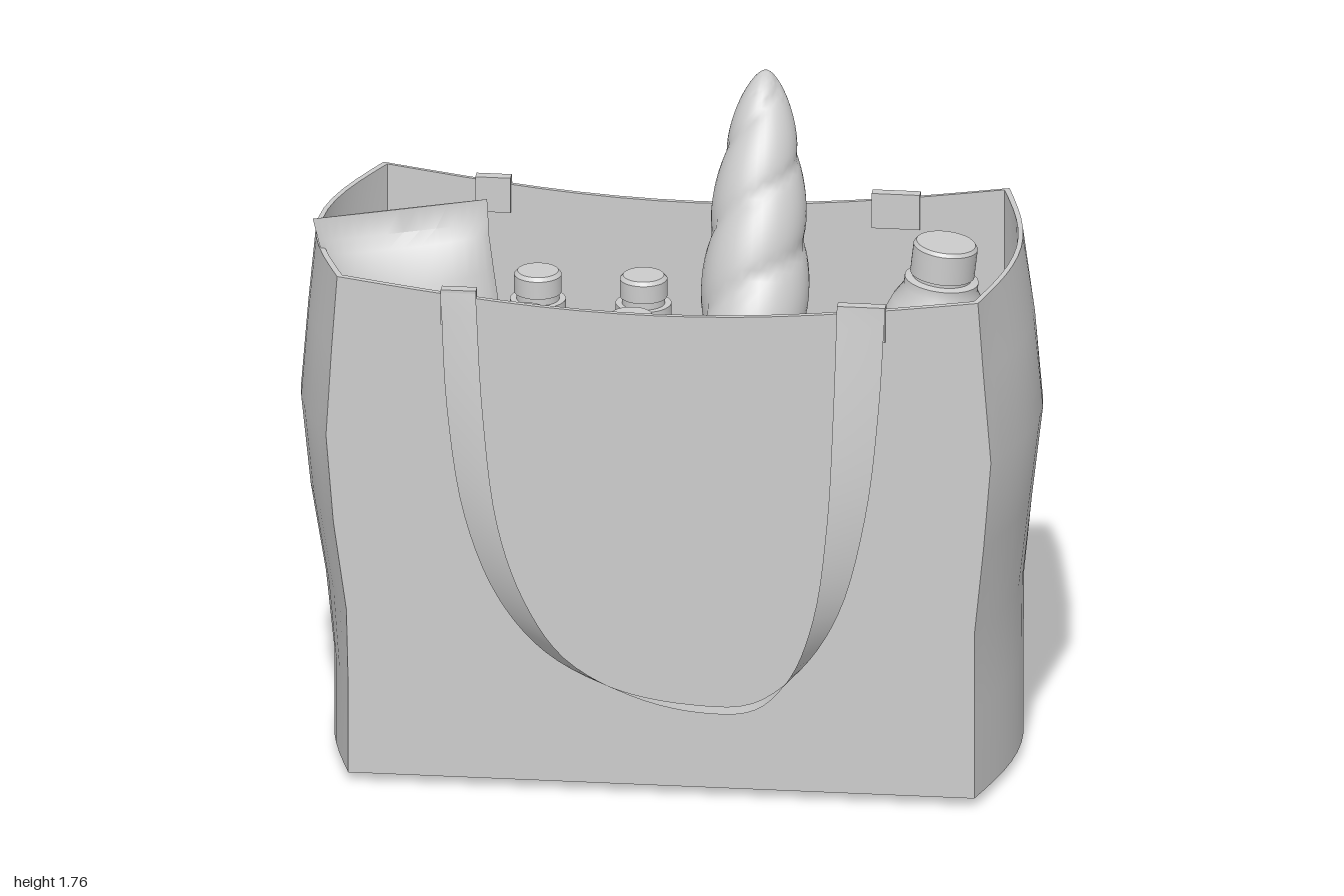
import * as THREE from 'three';
import { toCreasedNormals } from 'three/addons/utils/BufferGeometryUtils.js';

const V = (x, y, z) => new THREE.Vector3(x, y, z);
const lerp = THREE.MathUtils.lerp;

function mesh(name, geometry, parent, doubleSided = false) {
  const m = new THREE.Mesh(geometry, new THREE.MeshStandardMaterial({
    color: 0xcccccc, side: doubleSided ? THREE.DoubleSide : THREE.FrontSide }));
  m.name = name;
  parent.add(m);
  return m;
}

// Skin a list of rings of points, each ring closed or open
function loft(rings, closed = true, crease = 0.6) {
  const n = rings[0].length, pos = [], index = [];
  rings.forEach(r => r.forEach(p => pos.push(p.x, p.y, p.z)));
  for (let i = 0; i < rings.length - 1; i++) {
    for (let j = 0; j < (closed ? n : n - 1); j++) {
      const k = (j + 1) % n, a = i * n + j, b = i * n + k, c = a + n, d = b + n;
      index.push(a, b, d, a, d, c);
    }
  }
  const g = new THREE.BufferGeometry();
  g.setAttribute('position', new THREE.Float32BufferAttribute(pos, 3));
  g.setIndex(index);
  return toCreasedNormals(g, crease);
}

function lathe(points, segments = 32) {
  const g = new THREE.LatheGeometry(points.map(p => new THREE.Vector2(p[0], p[1])), segments);
  return toCreasedNormals(g, 0.6);
}

// Bag cross-section: flat front and back, bulging sides, sagging front and back rim
function bagRing([y, frontL, frontR, peakL, peakR], inset) {
  const pts = [], zh = 0.42 - inset, backL = -0.83, backR = 0.86, n = 16, m = 12;
  const put = (x, z, sag) => {
    const h = (y - 0.03) / 1.43;
    pts.push(V(x * (1 - inset), y - 0.075 * h * h * sag, z));
  };
  const side = (back, front, peak, t) =>
    lerp(back, front, t) + (peak - lerp(back, front, 0.55)) * Math.sin(Math.PI * t);
  for (let i = 0; i < n; i++) put(lerp(frontL, frontR, i / n), zh, Math.sin(Math.PI * i / n));
  for (let i = 0; i < m; i++) put(side(backR, frontR, peakR, 1 - i / m), lerp(zh, -zh, i / m), 0);
  for (let i = 0; i < n; i++) put(lerp(backR, backL, i / n), -zh, Math.sin(Math.PI * i / n));
  for (let i = 0; i < m; i++) put(side(backL, frontL, peakL, i / m), lerp(-zh, zh, i / m), 0);
  return pts;
}

function addBag(group) {
  const rows = [
    [0.03, -0.83, 0.86, -0.91, 0.94], [0.28, -0.83, 0.86, -0.91, 0.94],
    [0.5, -0.835, 0.86, -0.935, 0.942], [0.75, -0.87, 0.885, -0.975, 0.97],
    [1.0, -0.89, 0.905, -1.0, 1.0], [1.25, -0.875, 0.885, -0.98, 0.975],
    [1.46, -0.86, 0.87, -0.96, 0.94]];
  const outer = rows.map(r => bagRing(r, 0));
  const inner = rows.map(r => bagRing(r, 0.014)).reverse();
  inner[inner.length - 1].forEach(p => { p.y = 0.045; });
  const centre = y => outer[0].map(() => V(0, y, 0));
  mesh('bagShell', loft([centre(0.03), ...outer, ...inner, centre(0.045)]), group);
}

// Ribbon handle: lies flat at the rim and twists outwards at the bottom of its loop
function addHandle(group, s) {
  const edge = (pts, lean) => new THREE.CatmullRomCurve3(
    pts.map(([x, y]) => V(x, y, s * (0.428 + (1.435 - y) * lean))), false, 'centripetal').getPoints(60);
  const inside = edge([[-0.58, 1.43], [-0.56, 1.1], [-0.51, 0.8], [-0.42, 0.58], [-0.29, 0.43],
    [-0.1, 0.335], [0.1, 0.3], [0.27, 0.31], [0.4, 0.41], [0.5, 0.57], [0.57, 0.84], [0.605, 1.15], [0.62, 1.435]], 0.064);
  const outside = edge([[-0.485, 1.43], [-0.46, 1.1], [-0.415, 0.8], [-0.34, 0.6], [-0.23, 0.45],
    [-0.05, 0.355], [0.14, 0.316], [0.29, 0.33], [0.38, 0.42], [0.44, 0.58], [0.473, 0.84], [0.485, 1.15], [0.49, 1.435]], 0.153);
  const handle = new THREE.Group();
  handle.name = s > 0 ? 'frontHandle' : 'backHandle';
  group.add(handle);
  mesh('strap', loft([inside, outside], false, 1), handle, true);
  for (const [x, w] of [[-0.532, 0.095], [0.555, 0.13]]) {
    mesh('strapTab', new THREE.BoxGeometry(w, 0.1, 0.03), handle).position.set(x, 1.387, s * 0.412);
  }
}

// Six small bottles in a low divided carrier
function addSixPack(group) {
  const pack = new THREE.Group();
  pack.name = 'sixPack';
  group.add(pack);
  const bottle = lathe([[0, 0], [0.125, 0], [0.14, 0.02], [0.14, 0.7], [0.132, 0.78], [0.11, 0.87],
    [0.088, 0.96], [0.075, 1.07], [0.075, 1.1], [0.058, 1.1], [0.058, 1.12], [0.064, 1.12],
    [0.064, 1.17], [0.055, 1.18], [0, 1.18]]);
  for (const x of [-0.68, -0.395, -0.11]) for (const z of [-0.26, 0.03]) {
    mesh('smallBottle', bottle, pack).position.set(x, 0.05, z);
  }
  for (const z of [-0.402, -0.115, 0.177]) {
    mesh('carrierPanel', new THREE.BoxGeometry(0.86, 0.45, 0.008), pack).position.set(-0.395, 0.275, z);
  }
  for (const x of [-0.822, -0.537, -0.252, 0.033]) {
    mesh('carrierDivider', new THREE.BoxGeometry(0.008, 0.45, 0.58), pack).position.set(x, 0.275, -0.113);
  }
}

// Leaning loaf with spiral scoring
function addBaguette(group) {
  const from = V(0.19, 0.08, 0.27), to = V(0.2, 1.765, -0.44);
  const dir = to.clone().sub(from).normalize(), up = V(0, 0, 1).cross(dir).normalize();
  const across = dir.clone().cross(up).normalize(), rings = [];
  for (let i = 0; i <= 90; i++) {
    const t = (1 - Math.cos(Math.PI * i / 90)) / 2;
    const taper = Math.pow(Math.max(0, 1 - Math.pow(Math.abs(2 * t - 1), 2.6)), 0.55);
    rings.push(Array.from({ length: 36 }, (_, j) => {
      const a = j / 36 * Math.PI * 2;
      const ridge = Math.abs(Math.sin(t * Math.PI * 8 - a));
      const r = taper * (0.128 + 0.024 * Math.sqrt(ridge));
      return from.clone().lerp(to, t).addScaledVector(up, r * Math.cos(a)).addScaledVector(across, r * Math.sin(a));
    }));
  }
  mesh('baguette', loft(rings, true, 1.2), group);
}

// Large leaning bottle with screw cap
function addLargeBottle(group) {
  const bottle = new THREE.Group();
  bottle.name = 'largeBottle';
  bottle.position.set(0.587, 0.06, 0.19);
  bottle.rotation.z = -0.115;
  group.add(bottle);
  mesh('bottleBody', lathe([[0, 0], [0.15, 0], [0.18, 0.03], [0.195, 0.1], [0.195, 0.45], [0.18, 0.52],
    [0.18, 0.7], [0.2, 0.8], [0.2, 1.02], [0.19, 1.12], [0.165, 1.22], [0.125, 1.32], [0.1, 1.36],
    [0.1, 1.385], [0.08, 1.39], [0.08, 1.42]]), bottle);
  mesh('bottleCap', lathe([[0, 1.4], [0.087, 1.4], [0.087, 1.48], [0.08, 1.49], [0, 1.49]]), bottle);
}

// Gable-top carton with a spout on the sloping front
function addCarton(group) {
  const carton = new THREE.Group();
  carton.name = 'carton';
  group.add(carton);
  const shape = new THREE.Shape([[-0.175, 0], [0.175, 0], [0.175, 0.87], [0, 1.08], [-0.175, 0.87]]
    .map(p => new THREE.Vector2(...p)));
  const body = mesh('cartonBody', new THREE.ExtrudeGeometry(shape, { depth: 0.46, bevelEnabled: false }), carton);
  body.rotation.y = -Math.PI / 2;
  body.position.set(0.83, 0.05, -0.215);
  const cap = mesh('cartonCap', new THREE.CylinderGeometry(0.105, 0.105, 0.07, 28), carton);
  cap.position.set(0.6, 1.04, -0.115);
  cap.rotation.x = Math.atan2(0.21, 0.175);
}

// Pillow-shaped snack packet, sealed flat along its top edge
function addPacket(group) {
  const profile = [[-0.78, 0.2, 0], [-0.78, 0.232, 0.07], [-0.7, 0.228, 0.095], [-0.3, 0.222, 0.115], [0.1, 0.222, 0.115],
    [0.4, 0.224, 0.1], [0.58, 0.226, 0.072], [0.68, 0.228, 0.035], [0.715, 0.232, 0.004], [0.78, 0.238, 0.003], [0.78, 0.238, 0]];
  const rings = profile.map(([y, w, d]) => Array.from({ length: 32 }, (_, j) => {
    const a = j / 32 * Math.PI * 2;
    return V(-w * Math.cos(a), y, d * Math.sin(a) * Math.abs(Math.sin(a)) ** 0.4);
  }));
  const packet = mesh('snackPacket', loft(rings, true, 0.7), group, true);
  packet.position.set(-0.59, 0.81, 0.26);
  packet.rotation.set(-0.065, 0, 0.16);
}

export function createModel() {
  const group = new THREE.Group();
  group.name = 'groceryBag';
  addBag(group);
  addHandle(group, 1);
  addHandle(group, -1);
  addSixPack(group);
  addBaguette(group);
  addLargeBottle(group);
  addCarton(group);
  addPacket(group);
  return group;
}
